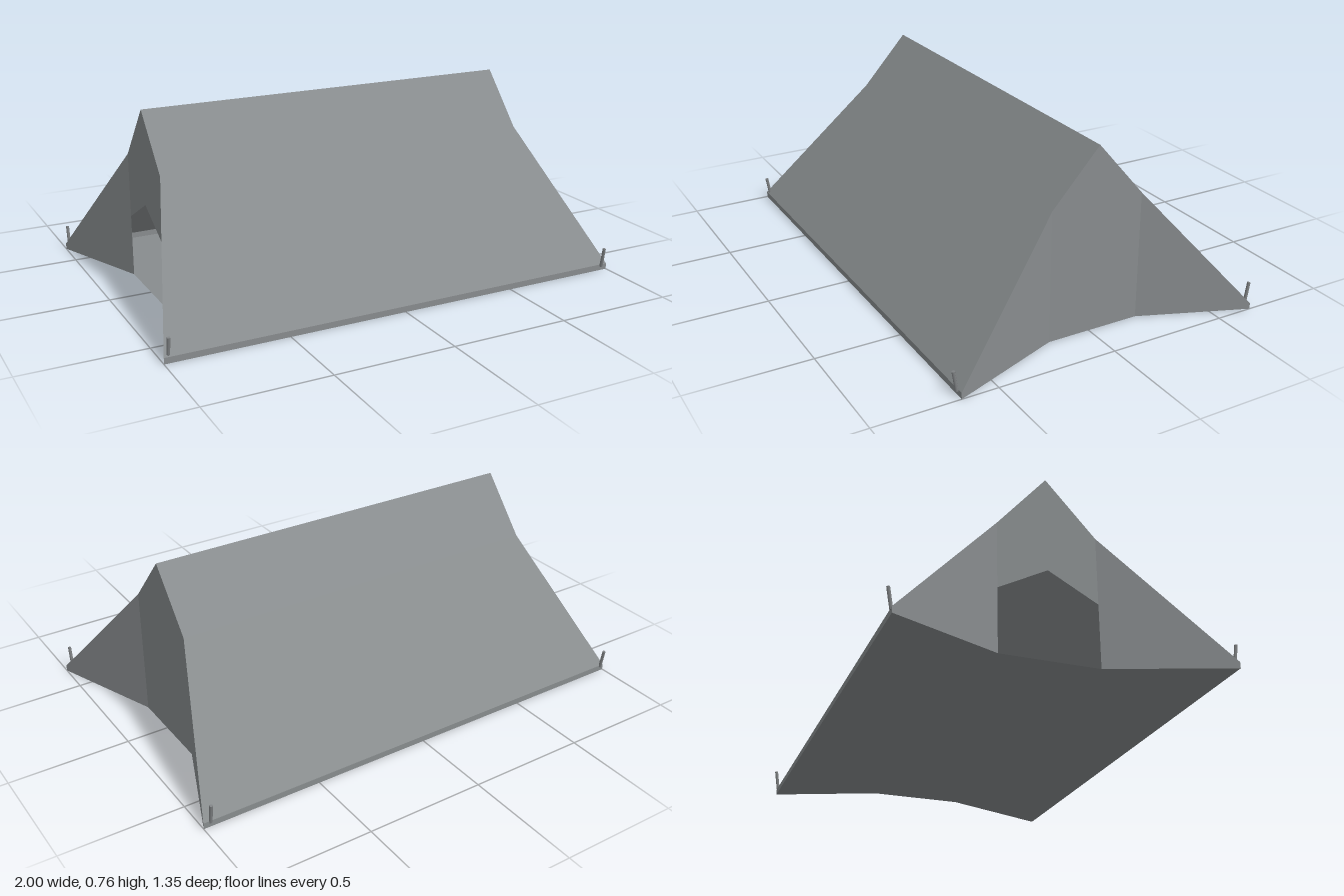
import * as THREE from 'three';

// Cross-sections of the roof from the front eave over the ridge to the back eave
const EAVE_Y = 0.025;
const SECTIONS = [
  { z: 0.65, y: EAVE_Y, x: 1.0 },
  { z: 0.18, y: 0.544, x: 0.825 },
  { z: -0.02, y: 0.765, x: 0.825 },
  { z: -0.22, y: 0.534, x: 0.825 },
  { z: -0.655, y: EAVE_Y, x: 1.0 },
];

// Flat quads, corners counter-clockwise seen from outside
function quads(list) {
  const pos = [];
  for (const [a, b, c, d] of list) pos.push(...a, ...b, ...c, ...a, ...c, ...d);
  const geometry = new THREE.BufferGeometry();
  geometry.setAttribute('position', new THREE.Float32BufferAttribute(pos, 3));
  geometry.computeVertexNormals();
  return geometry;
}

export function createModel() {
  const tent = new THREE.Group();
  tent.name = 'tent';

  const canvas = new THREE.MeshStandardMaterial({ color: 0x888c8e, side: THREE.DoubleSide });
  canvas.name = 'grey canvas';
  const metal = new THREE.MeshStandardMaterial({ color: 0x808385 });
  metal.name = 'peg metal';

  const add = (name, geometry, material = canvas) => {
    const mesh = new THREE.Mesh(geometry, material);
    mesh.name = name;
    tent.add(mesh);
    return mesh;
  };

  // Roof slopes and floor share the same waisted plan
  const roof = [], floor = [];
  for (let i = 0; i < SECTIONS.length - 1; i++) {
    const s = SECTIONS[i], t = SECTIONS[i + 1];
    roof.push([[-s.x, s.y, s.z], [s.x, s.y, s.z], [t.x, t.y, t.z], [-t.x, t.y, t.z]]);
    floor.push([[-t.x, 0, t.z], [t.x, 0, t.z], [s.x, 0, s.z], [-s.x, 0, s.z]]);
  }
  add('roof', quads(roof));
  add('floor', quads(floor));

  // Low upright hems below the eaves
  const [front, frontFold, ridge, backFold, back] = SECTIONS;
  for (const [name, s, dir] of [['frontHem', front, 1], ['backHem', back, -1]]) {
    const l = -s.x * dir, r = s.x * dir;
    add(name, quads([[[l, 0, s.z], [r, 0, s.z], [r, s.y, s.z], [l, s.y, s.z]]]));
  }

  for (const side of [1, -1]) {
    const label = side > 0 ? 'left' : 'right';

    // Flared wings reaching out to the corners
    const wing = (a, b) => [
      [side * a.x, 0, a.z], [side * b.x, 0, b.z],
      [side * b.x, b.y, b.z], [side * a.x, a.y, a.z],
    ];
    const wings = [wing(front, frontFold), wing(backFold, back)];
    if (side < 0) wings.forEach((w) => w.reverse());
    add(label + 'EndWings', quads(wings));

    // Middle end panel; the right one has a pointed doorway
    const outline = [[frontFold.z, 0], [frontFold.z, frontFold.y], [ridge.z, ridge.y],
      [backFold.z, backFold.y], [backFold.z, 0]];
    if (side < 0) {
      outline[0][1] = outline[4][1] = 0.262;
      outline.push([ridge.z, 0.37]);
    }
    const shape = new THREE.Shape(outline.map(([z, y]) => new THREE.Vector2(-side * z, y)));
    const panel = add(label + 'EndPanel', new THREE.ShapeGeometry(shape));
    panel.rotation.y = side * Math.PI / 2;
    panel.position.x = side * frontFold.x;
  }

  // Pegs at the four corners, leaning outwards
  const pegs = [[-0.98, 0.646], [0.97, 0.66], [-0.985, -0.66], [0.97, -0.66]];
  for (const [x, z] of pegs) {
    const peg = add('cornerPeg', new THREE.CylinderGeometry(0.007, 0.007, 0.085, 6), metal);
    peg.position.set(x, 0.06, z);
    peg.rotation.x = Math.sign(z) * 0.16;
  }

  return tent;
}
